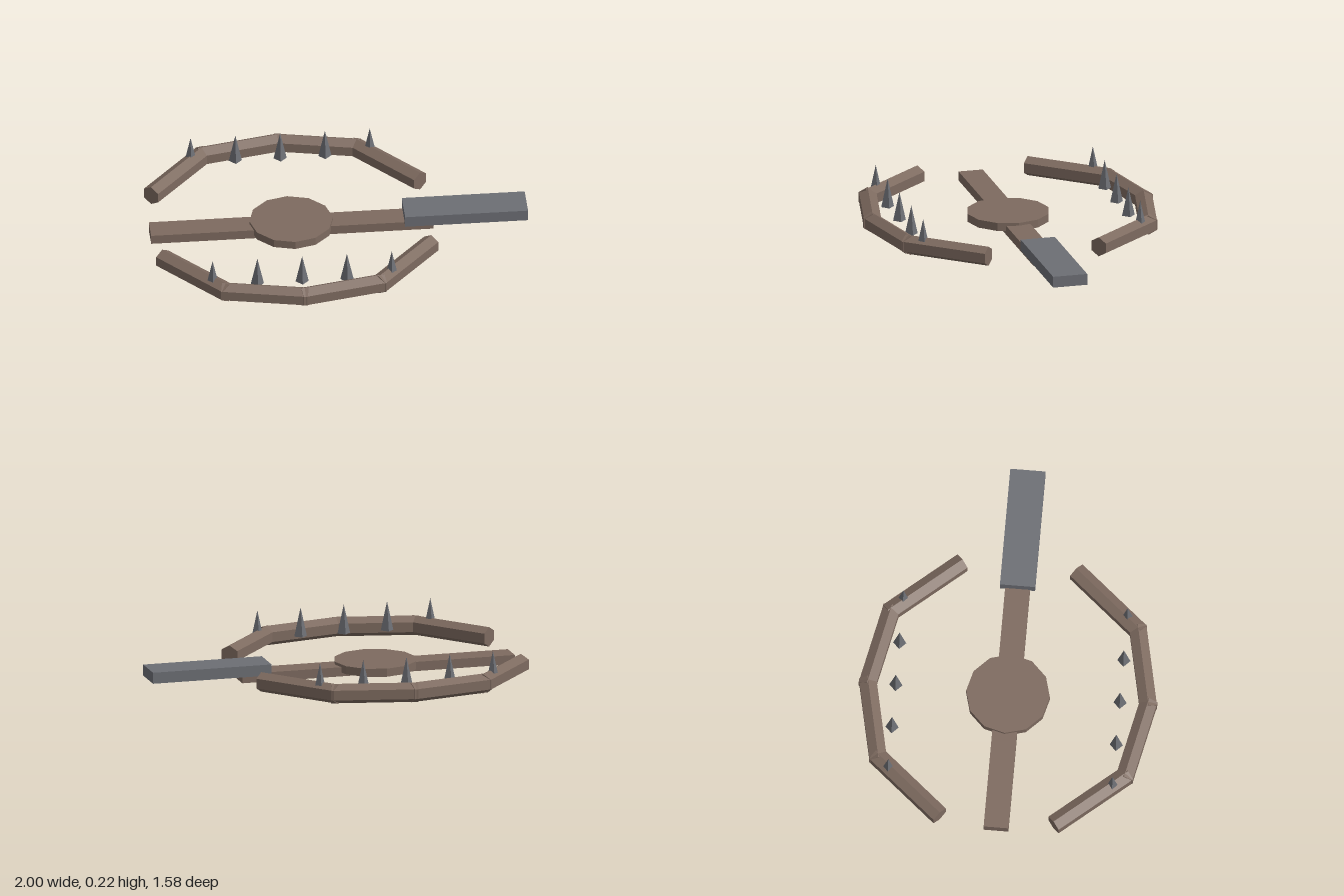
import * as THREE from 'three';

const CENTRE_X = -0.25;
const UP = new THREE.Vector3(0, 1, 0);

export function createModel() {
  const model = new THREE.Group();
  model.name = 'jawTrap';

  const rust = new THREE.MeshStandardMaterial({ color: 0x7d6a5f, flatShading: true });
  rust.name = 'rustyBrown';
  const steel = new THREE.MeshStandardMaterial({ color: 0x6c6e74, flatShading: true });
  steel.name = 'darkSteel';

  const add = (parent, name, geometry, material, x, y, z) => {
    const mesh = new THREE.Mesh(geometry, material);
    mesh.name = name;
    mesh.position.set(x, y, z);
    parent.add(mesh);
    return mesh;
  };

  // Hexagonal rod between two points, with a ridge facing up
  const addRod = (parent, from, to, extendFrom, extendTo) => {
    const dir = to.clone().sub(from).normalize();
    const a = from.clone().addScaledVector(dir, -extendFrom);
    const b = to.clone().addScaledVector(dir, extendTo);
    const mid = a.clone().add(b).multiplyScalar(0.5);
    const geometry = new THREE.CylinderGeometry(0.053, 0.053, a.distanceTo(b), 6);
    const rod = add(parent, 'jawSegment', geometry, rust, mid.x, mid.y, mid.z);
    const side = dir.clone().cross(UP);
    rod.quaternion.setFromRotationMatrix(new THREE.Matrix4().makeBasis(side, dir, UP));
  };

  // Base bar, trigger pan and anchor plate
  add(model, 'baseBar', new THREE.BoxGeometry(1.5, 0.05, 0.132), rust, CENTRE_X, 0.025, 0);
  add(model, 'triggerPan', new THREE.CylinderGeometry(0.222, 0.222, 0.044, 12), rust, CENTRE_X, 0.043, 0);
  add(model, 'anchorPlate', new THREE.BoxGeometry(0.653, 0.06, 0.187), steel, 0.6735, 0.069, 0);

  // Two open jaws, mirrored front to back, each with a row of teeth
  const path = [[-0.715, 0.302], [-0.412, 0.656], [0, 0.743], [0.412, 0.656], [0.715, 0.302]];
  const overlap = 0.02;
  for (const side of [1, -1]) {
    const jaw = new THREE.Group();
    jaw.name = side > 0 ? 'frontJaw' : 'backJaw';
    model.add(jaw);

    const points = path.map(([x, z]) => new THREE.Vector3(CENTRE_X + x, 0.0625, z * side));
    for (let i = 0; i < 4; i++) {
      addRod(jaw, points[i], points[i + 1], i > 0 ? overlap : 0, i < 3 ? overlap : 0);
    }

    for (let i = -2; i <= 2; i++) {
      add(jaw, 'tooth', new THREE.ConeGeometry(0.035, 0.157, 4), steel,
        CENTRE_X + i * 0.238, 0.141, 0.595 * side);
    }
  }

  return model;
}
